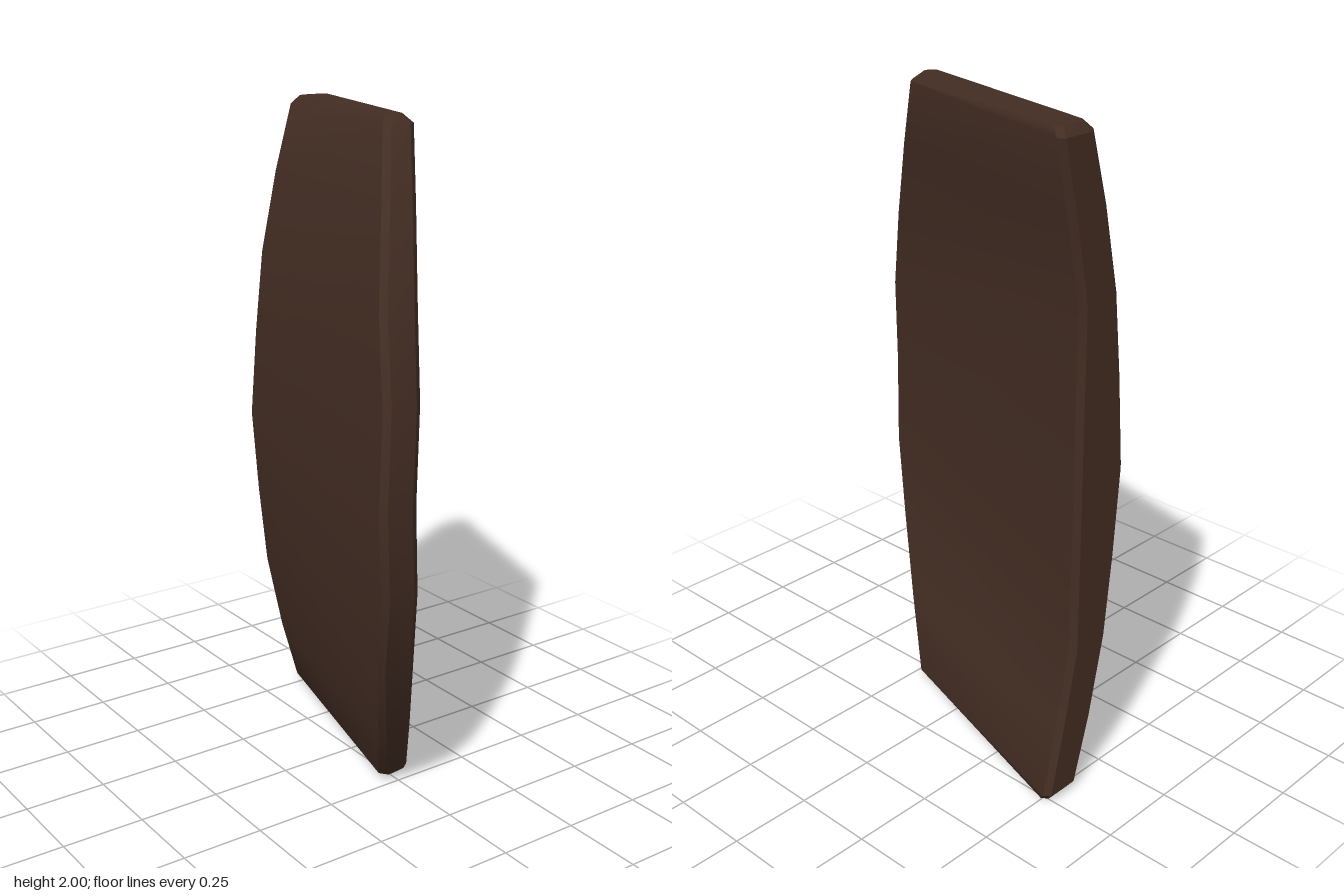
import * as THREE from 'three';
import { toCreasedNormals } from 'three/addons/utils/BufferGeometryUtils.js';

// Half of the cross-sections, from mid height to the top:
// height above middle, front z, back z, then x of outer front, inner front, inner back, outer back
const SECTIONS = [
  [0.00, 0.537, -0.535, -0.283, -0.160, 0.18, -0.025],
  [0.27, 0.51, -0.535, -0.253, -0.130, 0.18, -0.003],
  [0.52, 0.45, -0.535, -0.223, -0.095, 0.18, 0.025],
  [0.77, 0.34, -0.535, -0.135, -0.020, 0.232, 0.08],
  [0.975, 0.235, -0.535, -0.055, 0.050, 0.28, 0.14],
  [1.00, 0.205, -0.515, -0.025, 0.032, 0.268, 0.16],
];
const BEVEL = 0.02;

// Four-cornered section with each corner cut, counterclockwise from above
function ring([, front, back, outerFront, innerFront, innerBack, outerBack], y) {
  const corners = [[outerFront, front], [innerFront, front], [innerBack, back], [outerBack, back]]
    .map(([x, z]) => new THREE.Vector3(x, y, z));
  const points = [];
  corners.forEach((p, i) => {
    for (const q of [corners[(i + 3) % 4], corners[(i + 1) % 4]]) {
      points.push(p.clone().addScaledVector(q.clone().sub(p).normalize(), BEVEL));
    }
  });
  return points;
}

function panelGeometry() {
  // Mirror the sections below the middle
  const rings = [
    ...SECTIONS.slice(1).reverse().map((s) => ring(s, 1 - s[0])),
    ...SECTIONS.map((s) => ring(s, 1 + s[0])),
  ];
  const n = 8;
  const index = [];
  for (let r = 0; r < rings.length - 1; r++) {
    for (let i = 0; i < n; i++) {
      const a = r * n + i, b = r * n + (i + 1) % n;
      // Keep the diagonals mirrored about mid height
      if (r < rings.length / 2 - 1) index.push(a, b, a + n, b, b + n, a + n);
      else index.push(a, b, b + n, a, b + n, a + n);
    }
  }
  // End caps
  const top = (rings.length - 1) * n;
  for (let i = 1; i < n - 1; i++) {
    index.push(0, i + 1, i, top, top + i, top + i + 1);
  }
  const geometry = new THREE.BufferGeometry().setFromPoints(rings.flat());
  geometry.setIndex(index);
  return toCreasedNormals(geometry, 0.6);
}

export function createModel() {
  const group = new THREE.Group();
  group.name = 'curvedPanel';
  const darkBrown = new THREE.MeshStandardMaterial({ color: 0x432d23 });
  darkBrown.name = 'darkBrown';
  const panel = new THREE.Mesh(panelGeometry(), darkBrown);
  panel.name = 'panel';
  group.add(panel);
  return group;
}
